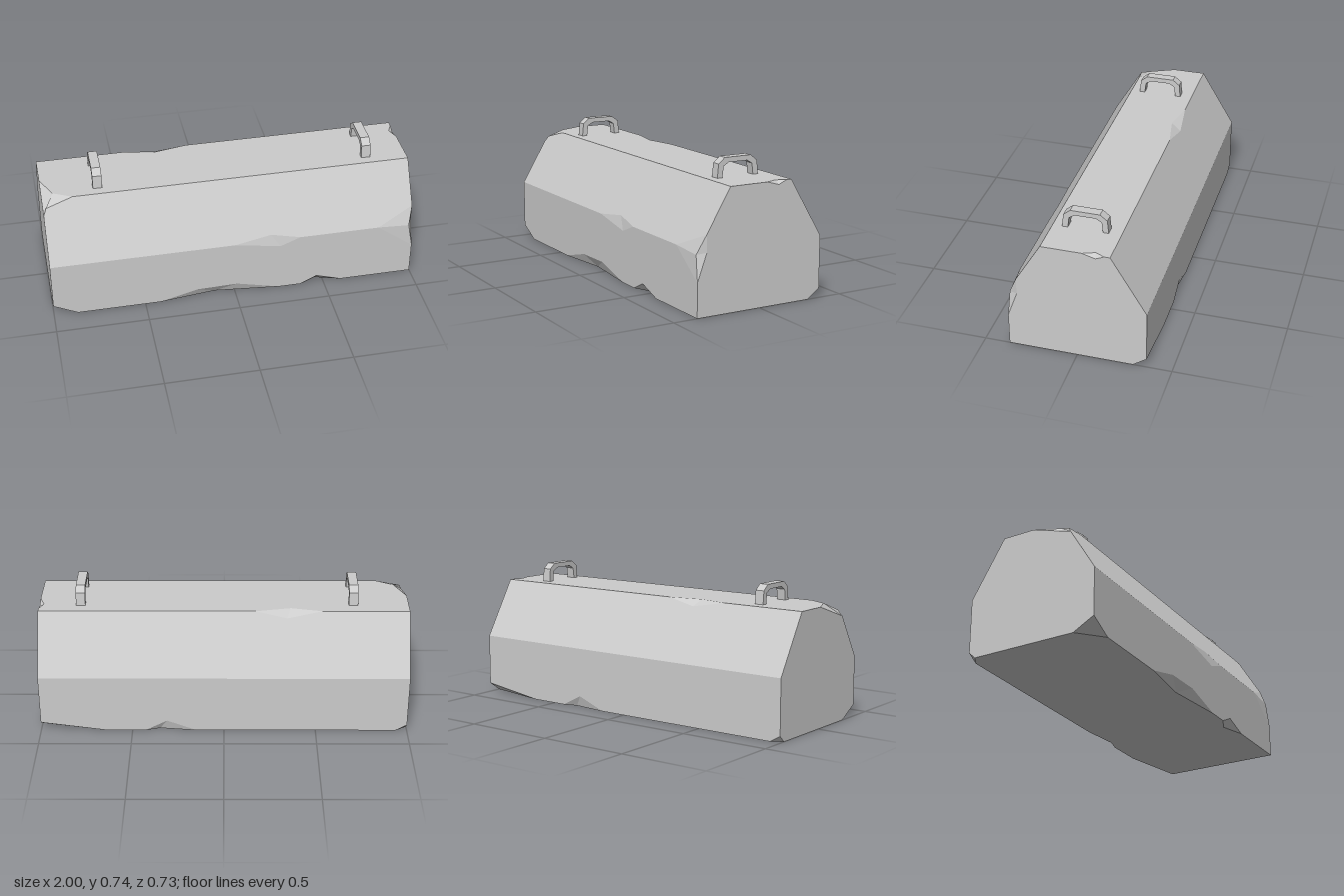
import * as THREE from 'three';

const V = (x, y, z) => new THREE.Vector3(x, y, z);

// Half end profile: upright wall to WALL_Y, then a slope up to the flat top
const Z0 = 0.367, Z1 = 0.18, WALL_Y = 0.33, TOP_Y = 0.64;
const front = (x, y) => V(x, y, Z0);
const back = (x, y) => V(x, y, -Z0);
const top = (x, z) => V(x, TOP_Y, z);
const under = (x, z) => V(x, 0, z);
const slope = (x, y, side = 1) =>
  V(x, y, side * (Z0 - (y - WALL_Y) * (Z0 - Z1) / (TOP_Y - WALL_Y)));

// Corners 0-5 run round the -x end from the front bottom edge, 6-11 round the +x end
const profile = [[0, Z0], [WALL_Y, Z0], [TOP_Y, Z1], [TOP_Y, -Z1], [WALL_Y, -Z0], [0, -Z0]];
const corners = [-1, 1].flatMap(x => profile.map(([y, z]) => V(x, y, z)));

// Chips: "at" is a corner or an edge (two corners); "rim" is the broken outline,
// fanned from its first point or from a sunken apex
const chips = [
  // front bottom edge
  { at: [0, 6], rim: [under(-0.11, 0.33), front(-0.42, 0), front(-0.21, 0.055), front(0.01, 0.06), front(0.25, 0)] },
  { at: [0, 6], rim: [front(0.46, 0.045), front(0.6, 0), under(0.46, 0.325), front(0.37, 0)] },
  // front shoulder edge
  { at: [1, 7], rim: [front(0.25, 0.285), front(0.36, WALL_Y), slope(0.2, 0.358), front(0, WALL_Y)] },
  // back top edge
  { at: [3, 9], rim: [top(-0.36, -0.145), top(-0.17, -Z1), slope(-0.34, 0.607, -1), top(-0.53, -Z1)] },
  // back bottom edge
  { at: [5, 11], rim: [back(0.31, 0.062), back(0.15, 0), under(0.35, -0.345), back(0.43, 0)] },
  // top edge of the +x end
  { at: [8, 9], rim: [top(0.975, -0.1), top(1, -0.15), V(1, 0.62, -0.105), top(1, -0.035)] },
  // bottom corners
  { at: [0], rim: [front(-0.87, 0), front(-1, 0.065), under(-1, 0.25)] },
  { at: [5], rim: [back(-0.94, 0), back(-1, 0.035), under(-1, -0.33)] },
  { at: [11], rim: [back(0.64, 0), back(1, 0.05), under(1, -0.295)] },
  // top front corner of the -x end
  { at: [2], rim: [top(-0.94, 0.13), top(-0.84, Z1), slope(-0.985, 0.6), slope(-1, 0.565), top(-1, 0)] },
  // front shoulder corner of the +x end
  { at: [7], apex: V(0.975, 0.315, 0.36),
    rim: [front(0.8, WALL_Y), slope(1, 0.415), V(1, 0.325, 0.314), front(1, 0.18)] },
];

function makeBlock() {
  const positions = [];

  // Adds a triangle, turned so that it faces away from the core of the block
  function addTriangle(a, b, c) {
    const normal = b.clone().sub(a).cross(c.clone().sub(a));
    const mid = a.clone().add(b).add(c).divideScalar(3);
    const outward = mid.clone().sub(V(mid.x * 0.5, 0.32, 0));
    const order = normal.dot(outward) > 0 ? [a, b, c] : [a, c, b];
    order.forEach(p => positions.push(p.x, p.y, p.z));
  }

  // Six long sides and two ends
  const faces = [[0, 1, 2, 3, 4, 5], [11, 10, 9, 8, 7, 6]];
  for (let k = 0; k < 6; k++) {
    const n = (k + 1) % 6;
    faces.push([k + 6, n + 6, n, k]);
  }

  for (const face of faces) {
    const count = face.length;
    const at = i => corners[face[(i + count) % count]];
    const u = at(1).clone().sub(at(0)).normalize();
    const normal = u.clone().cross(at(2).clone().sub(at(1))).normalize();
    const v = normal.clone().cross(u);
    const inFace = p => Math.abs(p.clone().sub(at(0)).dot(normal)) < 1e-4;
    const along = (points, from, to) => {
      const d = to.clone().sub(from);
      return points.filter(inFace).sort((p, q) => p.dot(d) - q.dot(d));
    };

    // Outline of the face with every chip bitten out
    const outline = [];
    face.forEach((id, i) => {
      const next = face[(i + 1) % count];
      const broken = chips.find(c => c.at.length === 1 && c.at[0] === id);
      outline.push(...(broken ? along(broken.rim, at(i - 1), at(i + 1)) : [at(i)]));
      const nicks = chips.filter(c => c.at.length === 2 && c.at.includes(id) && c.at.includes(next));
      outline.push(...along(nicks.flatMap(c => c.rim), at(i), at(i + 1)));
    });
    const flat = outline.map(p => new THREE.Vector2(p.dot(u), p.dot(v)));
    for (const [a, b, c] of THREE.ShapeUtils.triangulateShape(flat, []))
      addTriangle(outline[a], outline[b], outline[c]);
  }

  // Broken surfaces of the chips
  for (const { rim, apex } of chips) {
    const fan = apex ? [apex, ...rim, rim[0]] : rim;
    for (let i = 1; i < fan.length - 1; i++) addTriangle(fan[0], fan[i], fan[i + 1]);
  }

  const geometry = new THREE.BufferGeometry();
  geometry.setAttribute('position', new THREE.Float32BufferAttribute(positions, 3));
  geometry.computeVertexNormals();
  return geometry;
}

// Angular bail handle, drawn in (z, y) and given its width along x
function makeHandle(width) {
  const outline = [
    [0.13, 0.635], [0.122, 0.712], [0.085, 0.742], [-0.07, 0.742], [-0.108, 0.712], [-0.115, 0.635],
    [-0.085, 0.635], [-0.078, 0.698], [-0.048, 0.716], [0.062, 0.716], [0.092, 0.698], [0.1, 0.635],
  ];
  const shape = new THREE.Shape(outline.map(([z, y]) => new THREE.Vector2(z, y)));
  return new THREE.ExtrudeGeometry(shape, { depth: width, bevelEnabled: false })
    .translate(0, 0, -width / 2)
    .rotateY(-Math.PI / 2);
}

export function createModel() {
  const model = new THREE.Group();
  model.name = 'chippedStoneBlock';
  const material = new THREE.MeshStandardMaterial({ color: 0xcccccc, flatShading: true });

  const block = new THREE.Mesh(makeBlock(), material);
  block.name = 'block';
  model.add(block);

  const handleGeometry = makeHandle(0.05);
  for (const [name, x] of [['rightHandle', -0.7], ['leftHandle', 0.775]]) {
    const handle = new THREE.Mesh(handleGeometry, material);
    handle.name = name;
    handle.position.x = x;
    model.add(handle);
  }
  return model;
}
